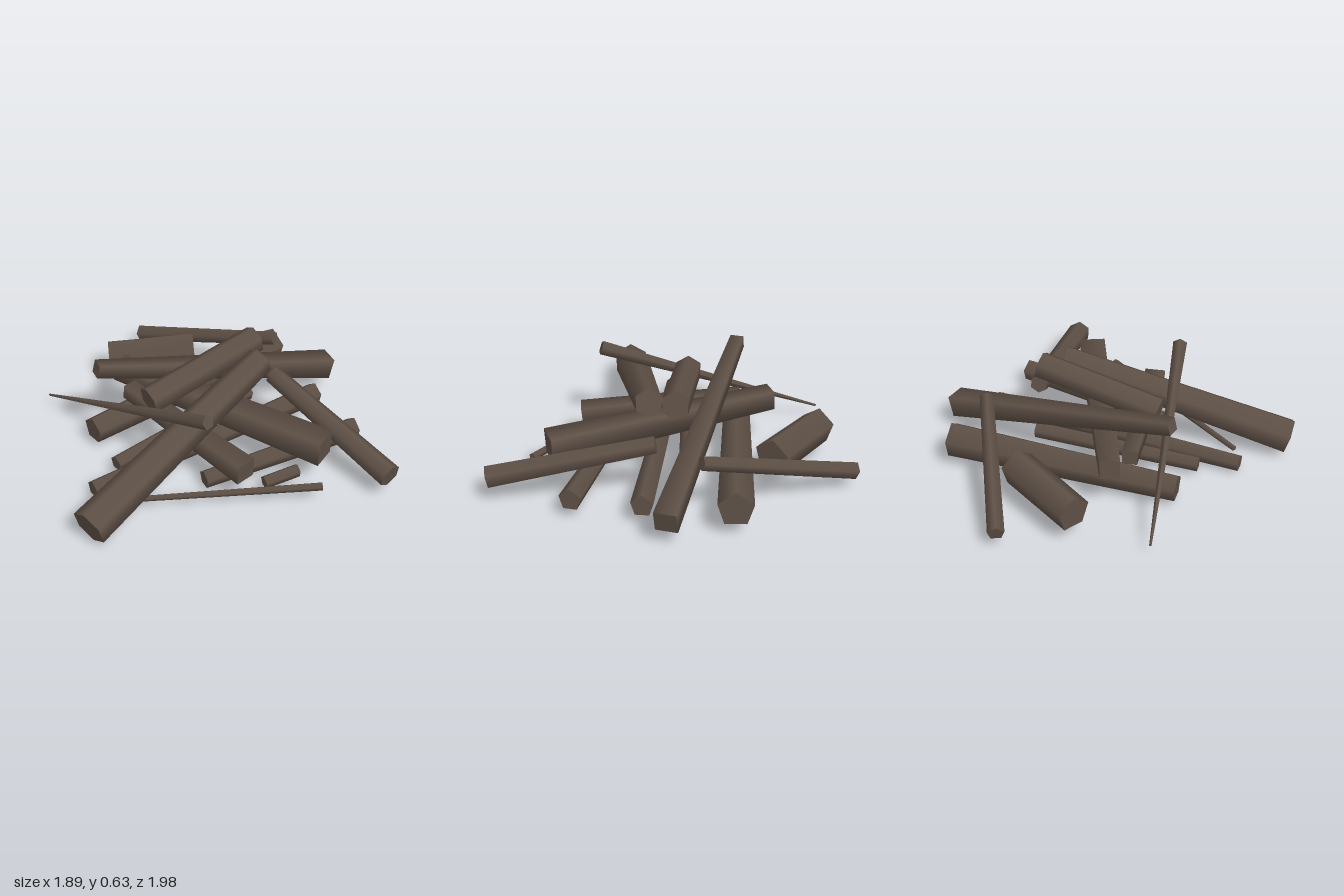
import * as THREE from 'three';

const wood = new THREE.MeshStandardMaterial({ color: 0x5e5046 });
wood.name = 'dark brown wood';

// Tapered prism running from point a to point b; roll 0 puts a ridge on top
function log(name, a, b, ra, rb, sides, roll = 0) {
  const start = new THREE.Vector3(...a), end = new THREE.Vector3(...b);
  const dir = end.clone().sub(start);
  const geo = new THREE.CylinderGeometry(rb, ra, dir.length(), sides, 1);
  geo.rotateY(roll);
  const y = dir.normalize();
  const x = new THREE.Vector3().crossVectors(y, new THREE.Vector3(0, 1, 0)).normalize();
  const z = new THREE.Vector3().crossVectors(x, y);
  const mesh = new THREE.Mesh(geo, wood);
  mesh.name = name;
  mesh.quaternion.setFromRotationMatrix(new THREE.Matrix4().makeBasis(x, y, z));
  mesh.position.copy(start).add(end).multiplyScalar(0.5);
  return mesh;
}

export function createModel() {
  const group = new THREE.Group();
  group.name = 'woodPile';
  const flat = Math.PI / 4;
  group.add(
    // Large logs resting on top
    log('frontLog', [-0.89, 0.115, 0.70], [0.34, 0.525, 0.165], 0.11, 0.08, 6),
    log('topLog', [-0.33, 0.41, 0.14], [0.385, 0.555, -0.005], 0.082, 0.082, 6),
    log('rearLog', [-0.59, 0.12, -0.09], [0.72, 0.17, -0.445], 0.078, 0.105, 5),
    log('rearStump', [-0.28, 0.19, -0.67], [0.21, 0.215, -0.51], 0.105, 0.11, 5),
    // Four-sided beams
    log('crossBeam', [-0.55, 0.53, -0.10], [0.93, 0.16, -0.12], 0.055, 0.09, 4, flat),
    log('diagonalBeam', [-0.32, 0.31, -0.37], [0.49, 0.24, 0.71], 0.08, 0.108, 4, flat),
    log('middleBeam', [-0.33, 0.28, -0.18], [0.02, 0.205, 0.69], 0.06, 0.085, 4, flat),
    // Leaning branches
    log('rightBranch', [0.465, 0.34, 0.085], [0.76, 0.15, 0.97], 0.055, 0.07, 6),
    log('backBranch', [0.035, 0.11, -0.955], [0.62, 0.365, -0.225], 0.05, 0.042, 5),
    log('taperedBranch', [-0.70, 0.085, -0.565], [-0.18, 0.555, 0.63], 0.007, 0.043, 5),
    // Low branches lying near the ground
    log('longLowBranch', [-0.75, 0.075, 0.36], [0.755, 0.12, 0.07], 0.05, 0.067, 5),
    log('shortLowBranch', [-0.56, 0.085, 0.21], [0.38, 0.14, -0.07], 0.045, 0.05, 5),
    log('frontLowBranch', [-0.15, 0.07, 0.51], [0.81, 0.12, 0.465], 0.052, 0.066, 5),
    log('thinTwig', [-0.65, 0.06, 0.485], [0.41, 0.1, 0.85], 0.016, 0.024, 5),
    log('smallChip', [0.14, 0.08, 0.675], [0.35, 0.095, 0.665], 0.038, 0.038, 5),
  );
  return group;
}
